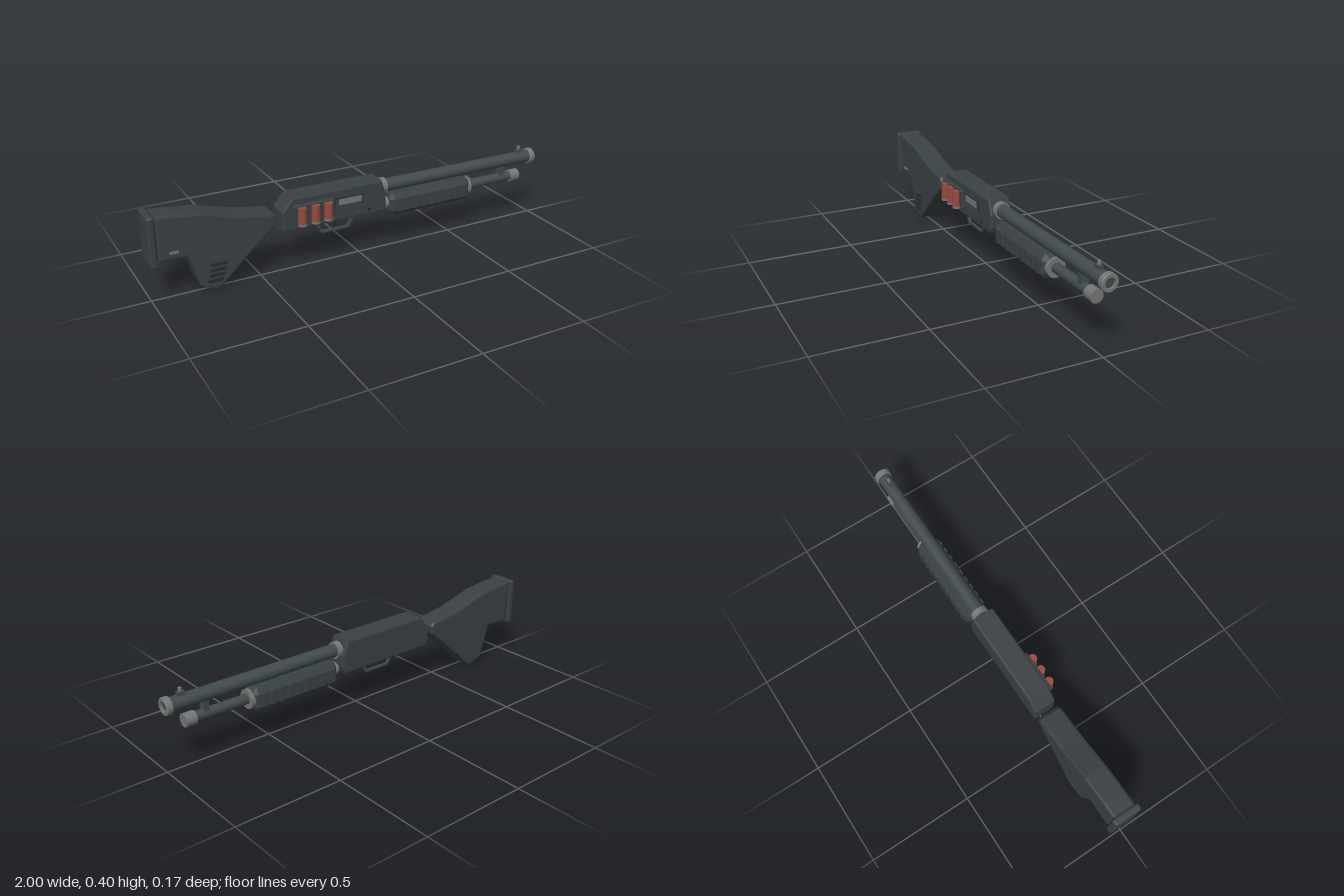
import * as THREE from 'three';
import { RoundedBoxGeometry } from 'three/addons/geometries/RoundedBoxGeometry.js';

const Z = -0.015; // centre plane of the body

const material = (name, color) => {
  const m = new THREE.MeshStandardMaterial({ color });
  m.name = name;
  return m;
};

export function createModel() {
  const model = new THREE.Group();
  model.name = 'shotgun';
  const polymer = material('dark polymer', 0x3a4143);
  const steel = material('blued steel', 0x414a4c);
  const grey = material('grey metal', 0x747676);
  const black = material('black', 0x272b2c);
  const red = material('shell red', 0x96493e);

  const add = (name, geometry, mat, x = 0, y = 0, z = 0) => {
    const mesh = new THREE.Mesh(geometry, mat);
    mesh.name = name;
    mesh.position.set(x, y, z);
    model.add(mesh);
    return mesh;
  };
  const box = (name, mat, x0, x1, y0, y1, z0, z1) =>
    add(name, new THREE.BoxGeometry(x1 - x0, y1 - y0, z1 - z0), mat,
      (x0 + x1) / 2, (y0 + y1) / 2, (z0 + z1) / 2);
  const rod = (name, mat, x0, x1, y, r) =>
    add(name, new THREE.CylinderGeometry(r, r, x1 - x0, 32).rotateZ(-Math.PI / 2), mat, (x0 + x1) / 2, y, Z);
  const shape = (pts) => new THREE.Shape(pts.map(([x, y]) => new THREE.Vector2(x, y)));
  // Extrusion centred on its depth, with the bevel kept inside the outline
  const slab = (pts, depth, b, segments = 2) =>
    new THREE.ExtrudeGeometry(shape(pts), {
      depth: depth - 2 * b, bevelEnabled: b > 0, bevelSize: b, bevelThickness: b,
      bevelOffset: -b, bevelSegments: segments,
    }).translate(0, 0, -depth / 2 + b);

  // Stock with pistol grip
  add('stock', slab([
    [-0.965, 0.19], [-0.835, 0.19], [-0.79, 0.04], [-0.775, 0.028], [-0.715, 0.004], [-0.69, 0.015],
    [-0.575, 0.125], [-0.46, 0.222], [-0.43, 0.25], [-0.425, 0.29], [-0.44, 0.307],
    [-0.6, 0.332], [-0.765, 0.38], [-0.9, 0.396], [-0.965, 0.4],
  ], 0.112, 0.012), polymer, 0, 0, Z);
  add('buttPlate', new RoundedBoxGeometry(0.032, 0.232, 0.134, 3, 0.01), polymer, -0.984, 0.289, Z);
  box('buttSpacer', black, -0.97, -0.955, 0.2, 0.39, Z - 0.05, Z + 0.05);

  // Grip panel with raised bars, and the sling plate
  add('gripPanel', slab([[-0.77, 0.07], [-0.69, 0.035], [-0.66, 0.165], [-0.745, 0.165]], 0.004, 0),
    polymer, 0, 0, 0.043);
  for (let i = 0; i < 4; i++) {
    const y = 0.05 + i * 0.025;
    const x = -0.722 + i * 0.006;
    box('gripBar', black, x - 0.035, x + 0.035, y, y + 0.013, 0.043, 0.05);
  }
  box('slingPlate', grey, -0.915, -0.875, 0.223, 0.233, 0.038, 0.046);

  // Receiver
  add('receiver', slab([
    [-0.4, 0.203], [0.115, 0.203], [0.125, 0.23], [0.125, 0.29], [0.1, 0.36], [-0.35, 0.36], [-0.4, 0.3],
  ], 0.108, 0.009), polymer, 0, 0, Z);

  // Ejection port: frame, bolt and lower rail
  box('portPlate', black, -0.145, 0.005, 0.258, 0.316, 0.036, 0.041);
  box('portCover', polymer, -0.14, 0, 0.269, 0.311, 0.038, 0.043);
  box('bolt', grey, -0.125, -0.012, 0.283, 0.311, 0.04, 0.046);
  box('portRail', polymer, -0.15, 0.01, 0.258, 0.267, 0.037, 0.046);
  add('receiverPin', new THREE.CylinderGeometry(0.007, 0.007, 0.01, 16).rotateX(Math.PI / 2), black, 0.033, 0.232, 0.04);

  // Side shell holder
  add('shellHolder', new RoundedBoxGeometry(0.2, 0.094, 0.022, 2, 0.006), polymer, -0.25, 0.28, 0.044);
  for (const x of [-0.315, -0.25, -0.187]) {
    add('shell', new THREE.CylinderGeometry(0.02, 0.02, 0.076, 24), red, x, 0.28, 0.063);
    add('shellBase', new THREE.CylinderGeometry(0.021, 0.021, 0.01, 24), grey, x, 0.238, 0.063);
  }

  // Trigger guard and trigger
  add('triggerGuard', slab([
    [-0.23, 0.205], [-0.192, 0.141], [-0.053, 0.141], [-0.015, 0.205],
    [-0.028, 0.205], [-0.06, 0.151], [-0.185, 0.151], [-0.217, 0.205],
  ], 0.012, 0), steel, 0, 0, Z + 0.008);
  add('trigger', slab([[-0.128, 0.205], [-0.125, 0.162], [-0.118, 0.16], [-0.114, 0.205]], 0.01, 0),
    black, 0, 0, Z + 0.008);

  // Barrel with hollow muzzle ring
  rod('barrel', steel, 0.11, 0.985, 0.309, 0.031);
  rod('barrelCollar', grey, 0.115, 0.142, 0.309, 0.039);
  const ring = [[0.023, -0.014], [0.036, -0.014], [0.039, -0.011], [0.039, 0.011], [0.036, 0.014], [0.023, 0.014], [0.023, -0.014]];
  const muzzle = new THREE.LatheGeometry(ring.map(([r, h]) => new THREE.Vector2(r, h)), 32);
  const muzzleFlat = muzzle.toNonIndexed();
  muzzleFlat.computeVertexNormals();
  add('muzzleRing', muzzleFlat.rotateZ(-Math.PI / 2), grey, 0.986, 0.309, Z);
  rod('bore', steel, 0.975, 0.99, 0.309, 0.0235);

  // Front sight
  box('sightBase', steel, 0.903, 0.936, 0.335, 0.353, Z - 0.01, Z + 0.01);
  add('sightBead', new RoundedBoxGeometry(0.014, 0.022, 0.013, 2, 0.004), grey, 0.92, 0.361, Z);

  // Magazine tube, cap and barrel clamp
  rod('magazineTube', steel, 0.1, 0.88, 0.22, 0.023);
  rod('magazineCap', grey, 0.866, 0.916, 0.22, 0.03);
  rod('magazineCollar', grey, 0.595, 0.614, 0.218, 0.044);
  rod('rearCollar', grey, 0.135, 0.165, 0.222, 0.029);
  box('barrelClamp', steel, 0.803, 0.828, 0.21, 0.3, Z - 0.018, Z + 0.018);

  // Pump fore-end: chamfered section swept along x, with side ribs
  const section = [
    [-0.035, 0.165], [0.035, 0.165], [0.053, 0.187], [0.053, 0.248], [0.034, 0.276],
    [-0.034, 0.276], [-0.053, 0.248], [-0.053, 0.187],
  ];
  add('foreEnd', slab(section, 0.445, 0.018, 1).rotateY(Math.PI / 2), polymer, 0.378, 0, Z);
  for (let i = 0; i < 9; i++) {
    for (const side of [-1, 1]) {
      add('foreEndRib', new RoundedBoxGeometry(0.026, 0.066, 0.012, 1, 0.003), polymer,
        0.198 + i * 0.045, 0.218, Z + side * 0.053);
    }
  }
  return model;
}
